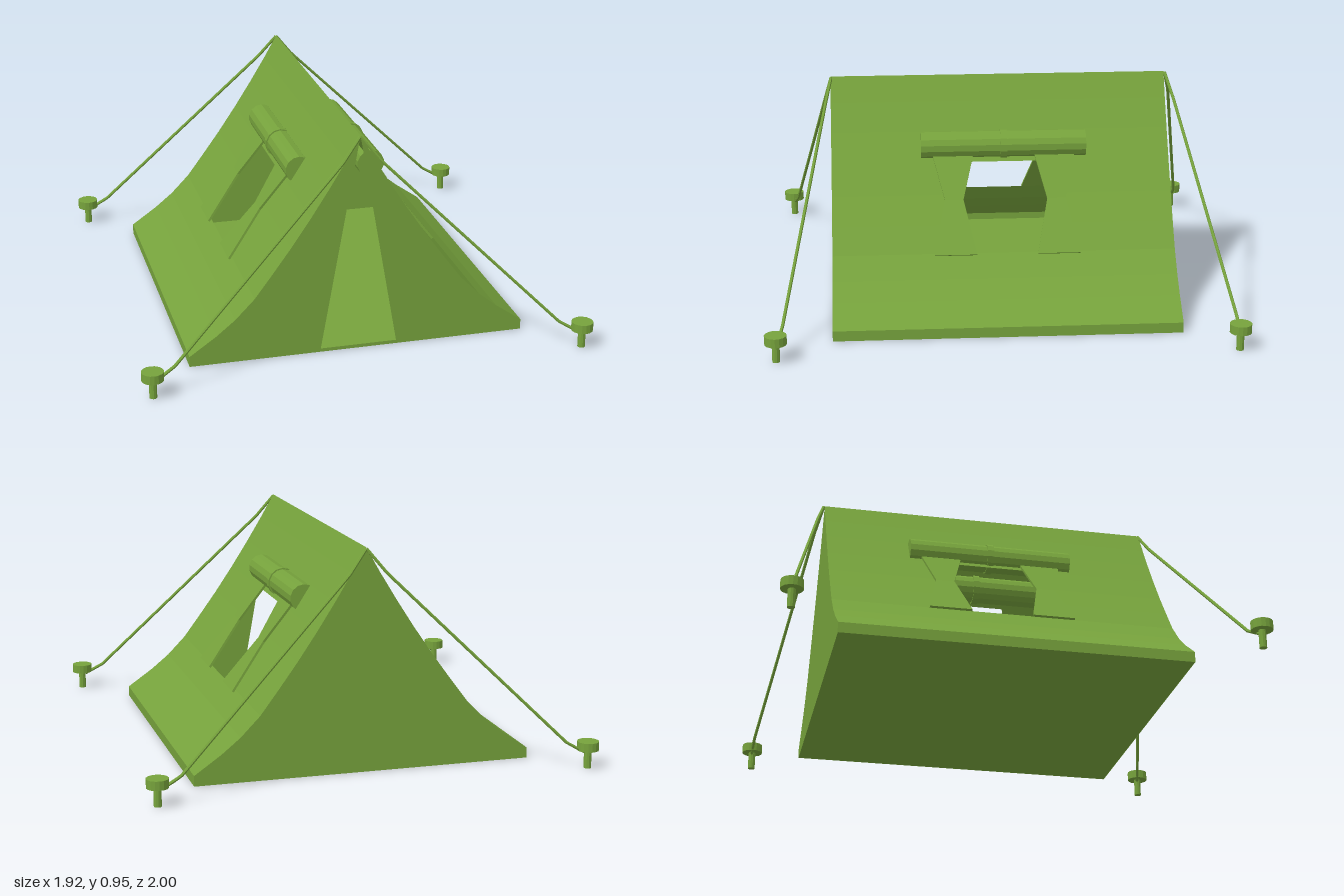
import * as THREE from 'three';

const FRONT = 0.725, BACK = -0.75, MID = -0.025;
const green = new THREE.MeshStandardMaterial({ color: 0x76a23c, flatShading: true });
const cloth = new THREE.MeshStandardMaterial({ color: 0x76a23c, flatShading: true, side: THREE.DoubleSide });

// Sagging side profile from the ridge down to the ground; rows 3 to 6 hold the window
const profile = [
  [0, 0.95], [0.06, 0.845], [0.13, 0.73], [0.207, 0.61], [0.29, 0.488], [0.37, 0.378],
  [0.447, 0.275], [0.53, 0.19], [0.61, 0.125], [0.725, 0.045], [0.725, 0],
];
const WINDOW_TOP = 0.61, WINDOW_BOTTOM = 0.275;

function add(parent, name, geometry, material = green) {
  const mesh = new THREE.Mesh(geometry, material);
  mesh.name = name;
  parent.add(mesh);
  return mesh;
}

// Canvas swept along z, leaving the middle column open at the window rows
function roofGeometry() {
  const path = [...profile.slice(1).reverse().map(([x, y]) => [-x, y]), ...profile];
  const columns = [BACK, MID - 0.222, MID + 0.222, FRONT];
  const pos = [];
  for (let i = 0; i < path.length - 1; i++) {
    const [ax, ay] = path[i], [bx, by] = path[i + 1];
    const inWindow = Math.max(ay, by) <= WINDOW_TOP && Math.min(ay, by) >= WINDOW_BOTTOM;
    for (let c = 0; c < 3; c++) {
      if (c === 1 && inWindow) continue;
      const z0 = columns[c], z1 = columns[c + 1];
      pos.push(ax, ay, z0, ax, ay, z1, bx, by, z1, ax, ay, z0, bx, by, z1, bx, by, z0);
    }
  }
  const g = new THREE.BufferGeometry();
  g.setAttribute('position', new THREE.Float32BufferAttribute(pos, 3));
  g.computeVertexNormals();
  return g;
}

function wallGeometry(points) {
  return new THREE.ShapeGeometry(new THREE.Shape(points.map(([x, y]) => new THREE.Vector2(x, y))));
}

// Curtain gathered at the waist, lying just above the canvas
function curtainGeometry(zCentre) {
  const rows = [[0.462, 0.272, 0.182], [0.311, 0.47, 0.08], [0.2, 0.635, 0.175]];
  const g = new THREE.BoxGeometry(1, 1, 0.01, 1, 2, 1);
  const p = g.attributes.position;
  for (let i = 0; i < p.count; i++) {
    const [x, y, width] = rows[Math.round((p.getY(i) + 0.5) * 2)];
    const out = p.getZ(i);
    p.setXYZ(i, x + out * 0.82, y + out * 0.57, zCentre - p.getX(i) * width);
  }
  g.computeVertexNormals();
  return g;
}

// Rolled window cover with its strap and a pair of curtains, for the +x side
function windowSet(name) {
  const set = new THREE.Group();
  set.name = name;
  const roll = add(set, 'windowRoll', new THREE.CylinderGeometry(0.06, 0.06, 0.72, 14));
  const strap = add(set, 'rollStrap', new THREE.CylinderGeometry(0.066, 0.066, 0.028, 14));
  for (const m of [roll, strap]) {
    m.rotation.x = Math.PI / 2;
    m.position.set(0.159, 0.674, 0);
  }
  for (const s of [1, -1]) add(set, 'curtain', curtainGeometry(s * 0.222));
  set.position.z = MID;
  return set;
}

export function createModel() {
  const model = new THREE.Group();
  model.name = 'tent';

  // Canvas, floor and end walls
  add(model, 'canvas', roofGeometry(), cloth);
  const floor = add(model, 'floor', new THREE.BoxGeometry(1.448, 0.014, FRONT - BACK - 0.002));
  floor.position.set(0, 0.007, (FRONT + BACK) / 2);
  const left = profile.slice(1).reverse().map(([x, y]) => [-x, y]);
  add(model, 'backWall', wallGeometry([...profile, ...left]), cloth).position.z = BACK;
  for (const s of [1, -1]) {
    const half = [...profile, [0, 0], [0, 0.015], [0.165, 0.015]].map(([x, y]) => [s * x, y]);
    add(model, 'frontWall', wallGeometry(half), cloth).position.z = FRONT;
  }

  // Windows on both sides
  model.add(windowSet('leftWindow'));
  const rightWindow = windowSet('rightWindow');
  rightWindow.rotation.y = Math.PI;
  model.add(rightWindow);

  // Guy ropes and pegs at the four corners
  const ropes = {
    front: [[0, 0.945, 0.722], [0.08, 0.845, 0.748], [0.82, 0.115, 0.925], [0.9, 0.07, 0.945]],
    back: [[0, 0.945, -0.755], [0.08, 0.845, -0.785], [0.82, 0.115, -0.953], [0.9, 0.07, -0.957]],
  };
  for (const [end, path] of Object.entries(ropes)) {
    for (const s of [1, -1]) {
      const points = path.map(([x, y, z]) => new THREE.Vector3(s * x, y, z));
      const curve = new THREE.CatmullRomCurve3(points, false, 'catmullrom', 0);
      add(model, end + 'Rope', new THREE.TubeGeometry(curve, 40, 0.007, 6));

      const peg = new THREE.Group();
      peg.name = end + 'Peg';
      add(peg, 'pegStem', new THREE.CylinderGeometry(0.016, 0.016, 0.09, 10)).position.y = 0.045;
      add(peg, 'pegHead', new THREE.CylinderGeometry(0.046, 0.046, 0.038, 16)).position.y = 0.097;
      peg.position.set(s * 0.915, 0, end === 'front' ? 0.95 : -0.954);
      model.add(peg);
    }
  }
  return model;
}
